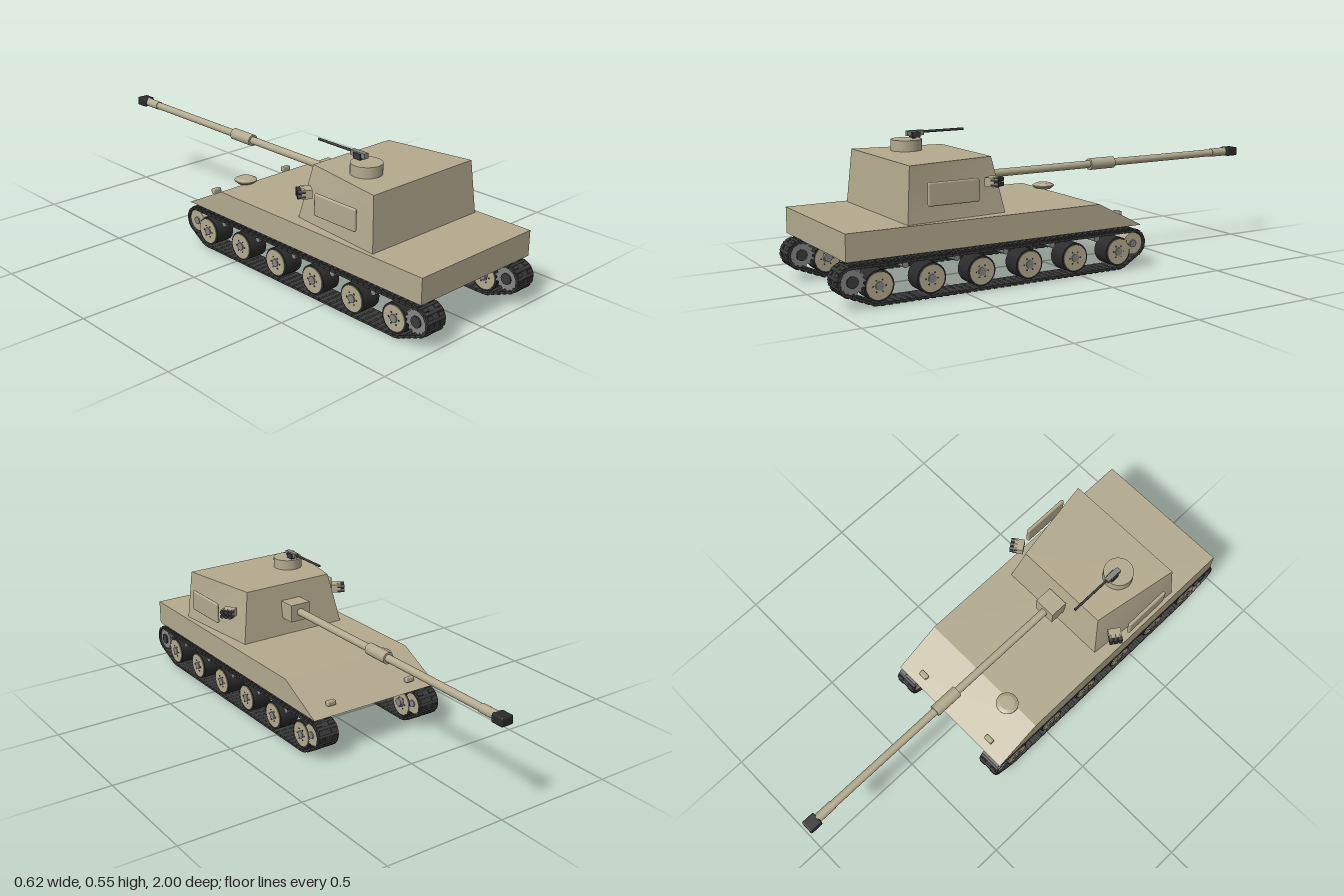
import * as THREE from 'three';
import { mergeGeometries, toCreasedNormals } from 'three/addons/utils/BufferGeometryUtils.js';
import { RoundedBoxGeometry } from 'three/addons/geometries/RoundedBoxGeometry.js';

const paint = (color) => new THREE.MeshStandardMaterial({ color });
const TAN = paint(0xb3aa8e), DARK = paint(0x3a3a3a), RUBBER = paint(0x2b2b2b), STEEL = paint(0x858585);

function add(parent, name, geo, mat, x = 0, y = 0, z = 0) {
  const m = new THREE.Mesh(geo, mat);
  m.name = name;
  m.position.set(x, y, z);
  parent.add(m);
  return m;
}
const box = (w, h, d) => new THREE.BoxGeometry(w, h, d);
const cylX = (r, len, n = 24) => new THREE.CylinderGeometry(r, r, len, n).rotateZ(Math.PI / 2);
const cylZ = (r, len, n = 20) => new THREE.CylinderGeometry(r, r, len, n).rotateX(Math.PI / 2);

// Side outline given as [z, y] points, extruded across x
function sideExtrude(points, width) {
  const shape = new THREE.Shape(points.map(([z, y]) => new THREE.Vector2(-z, y)));
  return new THREE.ExtrudeGeometry(shape, { depth: width, bevelEnabled: false })
    .translate(0, 0, -width / 2).rotateY(Math.PI / 2);
}

// Casemate: a box whose corners lean inwards and whose gun end is narrower
function casemateGeometry() {
  const g = box(2, 2, 2), p = g.attributes.position;
  for (let i = 0; i < p.count; i++) {
    const top = p.getY(i) > 0, rear = p.getZ(i) > 0;
    const half = rear ? (top ? 0.26 : 0.277) : (top ? 0.20 : 0.24);
    const z = rear ? (top ? 0.705 : 0.723) : (top ? 0.345 : 0.308);
    p.setXYZ(i, Math.sign(p.getX(i)) * half, top ? 0.482 : 0.272, z);
  }
  g.computeVertexNormals();
  return g;
}

// Closed belt of links with two raised pads each
function trackGeometry() {
  const rad = Math.PI / 180, path = new THREE.Path();
  path.absarc(-0.245, 0.1, 0.05, 90 * rad, 238.7 * rad);
  path.absarc(-0.175, 0.075, 0.065, 238.7 * rad, 270 * rad);
  path.absarc(0.84, 0.075, 0.065, 270 * rad, 291.4 * rad);
  path.absarc(0.94, 0.1, 0.05, 291.4 * rad, 450 * rad);
  path.closePath();
  const count = 96, parts = [];
  for (let i = 0; i < count; i++) {
    const p = path.getPointAt(i / count), t = path.getTangentAt(i / count);
    const link = [
      box(0.095, 0.009, 0.025),
      cylX(0.0065, 0.09, 8).translate(0, 0, 0.0145),
      box(0.025, 0.008, 0.014).translate(0.028, -0.005, 0),
      box(0.025, 0.008, 0.014).translate(-0.028, -0.005, 0),
    ];
    for (const g of link) {
      g.rotateX(-Math.atan2(t.y, t.x)).translate(0, p.y, p.x);
      parts.push(g);
    }
  }
  return mergeGeometries(parts);
}

// Toothed drive wheel
function sprocketGeometry() {
  const s = new THREE.Shape(), teeth = 14;
  for (let i = 0; i < teeth * 4; i++) {
    const a = (i / (teeth * 4)) * Math.PI * 2, r = i % 4 < 2 ? 0.05 : 0.042;
    s[i ? 'lineTo' : 'moveTo'](r * Math.cos(a), r * Math.sin(a));
  }
  return new THREE.ExtrudeGeometry(s, { depth: 0.02, bevelEnabled: false })
    .translate(0, 0, -0.01).rotateY(Math.PI / 2);
}

function runningGear(side) {
  const g = new THREE.Group();
  g.name = side > 0 ? 'leftRunningGear' : 'rightRunningGear';
  g.position.x = side * 0.2445;
  add(g, 'track', trackGeometry(), DARK);

  // Road wheels with rubber rims, hubs, bolts and inner axle stubs
  for (let i = 0; i < 6; i++) {
    const w = new THREE.Group();
    w.name = 'roadWheel';
    w.position.set(0, 0.075, 0.84 - i * 0.203);
    g.add(w);
    add(w, 'tyre', cylX(0.057, 0.08, 32), RUBBER);
    add(w, 'disc', cylX(0.05, 0.086, 32), TAN);
    add(w, 'hub', cylX(0.016, 0.094, 16), STEEL);
    for (let b = 0; b < 6; b++) {
      const a = (b / 6) * Math.PI * 2;
      add(w, 'bolt', cylX(0.003, 0.09, 6), DARK, 0, 0.024 * Math.sin(a), 0.024 * Math.cos(a));
    }
    add(w, 'axleStub', cylX(0.017, 0.05, 16), STEEL, -side * 0.033, 0.008, 0);
  }
  // Return rollers
  for (let i = 0; i < 5; i++)
    add(g, 'returnRoller', cylX(0.012, 0.088, 16), STEEL, 0, 0.138, 0.74 - i * 0.203);

  // Drive sprocket at one end, idler at the other
  for (const x of [-0.03, 0.03]) add(g, 'sprocket', sprocketGeometry(), STEEL, x, 0.1, 0.94);
  add(g, 'sprocketHub', cylX(0.022, 0.09), DARK, 0, 0.1, 0.94);
  add(g, 'idler', cylX(0.044, 0.08, 32), TAN, 0, 0.1, -0.245);
  add(g, 'idlerHub', cylX(0.015, 0.09, 16), STEEL, 0, 0.1, -0.245);
  return g;
}

// Six discharger tubes on a bracket, splayed outwards
function smokeLauncher(side) {
  const g = new THREE.Group();
  g.name = 'smokeLauncher';
  g.position.set(side * 0.268, 0.4, 0.378);
  g.rotation.y = side * 0.6;
  add(g, 'bracket', box(0.04, 0.034, 0.05), TAN);
  for (let row = 0; row < 2; row++)
    for (let k = -1; k <= 1; k++)
      add(g, 'tube', cylX(0.0085, 0.03, 12), DARK, side * 0.02, row ? 0.009 : -0.009, k * 0.018);
  return g;
}

export function createModel() {
  const model = new THREE.Group();
  model.name = 'selfPropelledGun';

  // Hull with sloped plate at the gun end
  add(model, 'hull', sideExtrude([[0.965, 0.173], [0.965, 0.274], [-0.08, 0.274], [-0.278, 0.173]], 0.586), TAN);
  add(model, 'casemate', casemateGeometry(), TAN);
  for (const side of [1, -1]) {
    model.add(runningGear(side), smokeLauncher(side));
    add(model, 'sidePanel', new RoundedBoxGeometry(0.014, 0.086, 0.205, 2, 0.006), TAN, side * 0.285, 0.378, 0.545);
    add(model, 'headlight', new RoundedBoxGeometry(0.038, 0.02, 0.02, 2, 0.004), TAN, side * 0.19, 0.207, -0.237);
  }

  // Driver hatch
  const hatch = [[0, -0.004], [0.03, -0.004], [0.045, 0.008], [0.045, 0.012], [0.03, 0.02], [0, 0.021]]
    .map(([r, y]) => new THREE.Vector2(r, y));
  add(model, 'driverHatch', toCreasedNormals(new THREE.LatheGeometry(hatch, 28), 0.4), TAN, -0.15, 0.274, -0.098);

  // Main gun
  const gun = new THREE.Group();
  gun.name = 'mainGun';
  gun.position.y = 0.381;
  model.add(gun);
  add(gun, 'mantlet', box(0.09, 0.073, 0.075), TAN, 0, 0, 0.292);
  add(gun, 'barrel', cylZ(0.0155, 1.23), TAN, 0, 0, -0.335);
  add(gun, 'boreSleeve', cylZ(0.024, 0.117), TAN, 0, 0, -0.285);
  add(gun, 'barrelCollar', cylZ(0.018, 0.08), TAN, 0, 0, -0.91);
  add(gun, 'muzzleBrake', new RoundedBoxGeometry(0.052, 0.036, 0.056, 2, 0.006), RUBBER, 0, 0, -0.972);

  // Commander cupola with machine gun
  add(model, 'cupola', new THREE.CylinderGeometry(0.06, 0.06, 0.046, 32), TAN, -0.122, 0.501, 0.537);
  const mg = new THREE.Group();
  mg.name = 'machineGun';
  mg.position.set(-0.122, 0.545, 0);
  model.add(mg);
  add(mg, 'mount', cylZ(0.007, 0.03, 10).rotateX(Math.PI / 2), DARK, 0, -0.015, 0.505);
  add(mg, 'receiver', box(0.02, 0.02, 0.07), STEEL, 0, 0, 0.5);
  add(mg, 'ammoBox', box(0.03, 0.022, 0.035), DARK, 0, -0.006, 0.5);
  add(mg, 'gunBarrel', cylZ(0.005, 0.19, 10), DARK, 0, 0.003, 0.385);
  return model;
}
